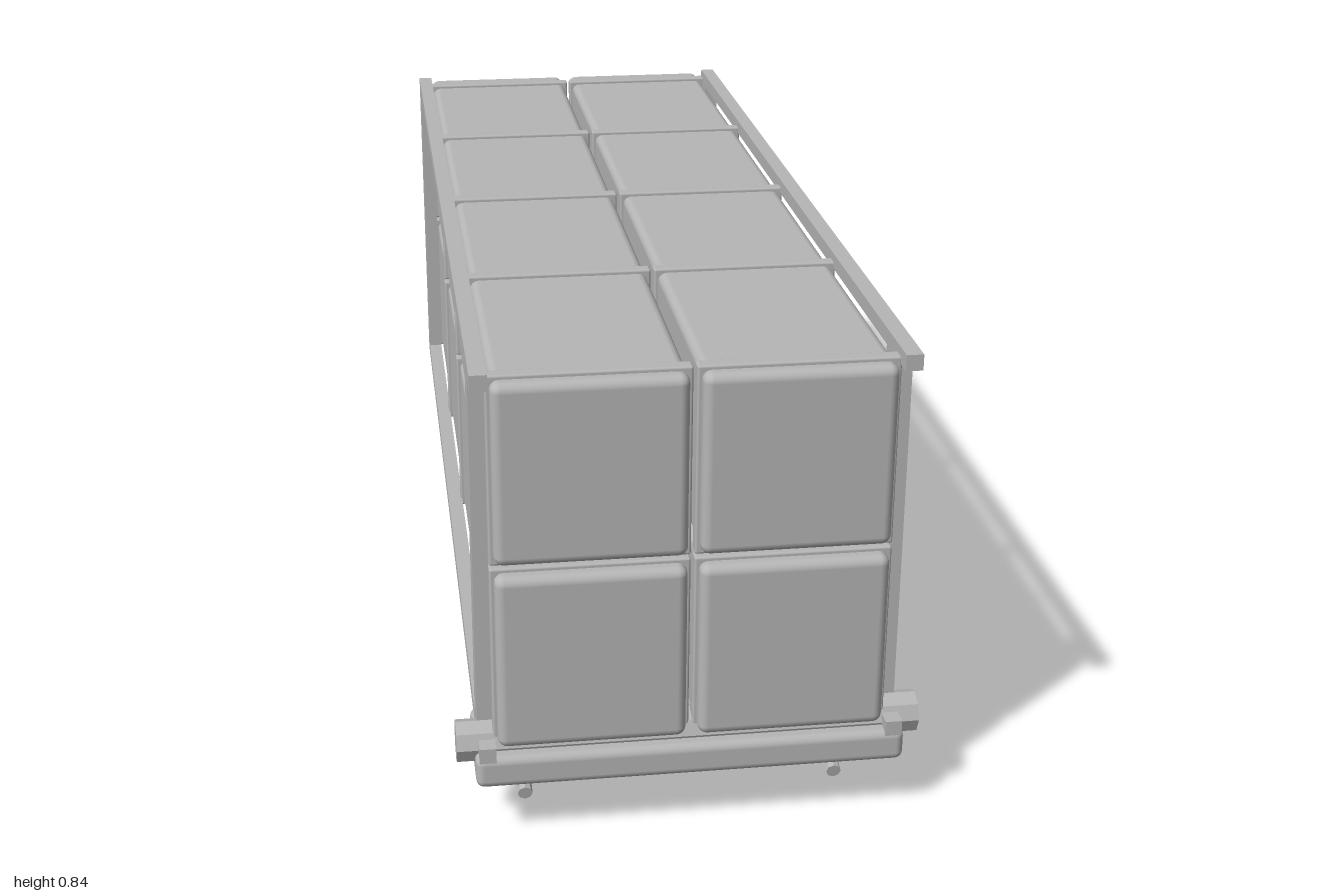
import * as THREE from 'three';
import { RoundedBoxGeometry } from 'three/addons/geometries/RoundedBoxGeometry.js';

export function createModel() {
  const model = new THREE.Group();
  const grey = new THREE.MeshStandardMaterial({ color: 0xb6b6b6 });
  grey.name = 'grey';

  const add = (name, geometry, x, y, z) => {
    const mesh = new THREE.Mesh(geometry, grey);
    mesh.name = name;
    mesh.position.set(x, y, z);
    model.add(mesh);
    return mesh;
  };

  // faceted rod between two points
  const rod = (name, a, b, radius, turn = 0) => {
    const dir = b.clone().sub(a);
    const geometry = new THREE.CylinderGeometry(radius, radius, dir.length(), 8).toNonIndexed();
    geometry.rotateY(turn);
    geometry.computeVertexNormals();
    const mid = a.clone().add(b).multiplyScalar(0.5);
    const mesh = add(name, geometry, mid.x, mid.y, mid.z);
    mesh.quaternion.setFromUnitVectors(new THREE.Vector3(0, 1, 0), dir.normalize());
  };

  // two by two long canisters, each with five thin collars
  const canister = new RoundedBoxGeometry(0.313, 0.313, 1.993, 3, 0.016);
  const collar = new RoundedBoxGeometry(0.327, 0.327, 0.026, 2, 0.004);
  for (const x of [-0.1665, 0.1665]) {
    for (const y of [0.331, 0.664]) {
      add('canister', canister, x, y, -0.0035);
      for (let i = 0; i < 5; i++) add('collar', collar, x, y, 0.955 - i * 0.469);
    }
  }

  // side frames: top and bottom rails joined by two posts
  const rail = new THREE.BoxGeometry(0.028, 0.027, 1.93);
  const post = new THREE.BoxGeometry(0.028, 0.64, 0.06);
  for (const side of [-1, 1]) {
    const x = side * 0.341;
    add('topRail', rail, x, 0.8285, 0.035);
    add('bottomRail', rail, x, 0.1685, 0.035);
    add('frontPost', post, x, 0.4985, 0.91);
    add('rearPost', post, x, 0.4985, -0.9);

    // support pistons under the frame
    const px = side * 0.272;
    const joint = new THREE.Vector3(px, 0.08, 0.525);
    rod('pistonCylinder', joint, new THREE.Vector3(px, 0.152, 0.098), 0.026);
    rod('pistonRod', new THREE.Vector3(px, 0.013, 0.878), joint, 0.013);
  }

  // pivot axle and its cradle
  rod('pivotAxle', new THREE.Vector3(-0.391, 0.166, 0.94), new THREE.Vector3(0.391, 0.166, 0.94), 0.036);
  add('pivotCradle', new RoundedBoxGeometry(0.722, 0.057, 0.178, 3, 0.014), 0, 0.1335, 0.911);

  return model;
}
